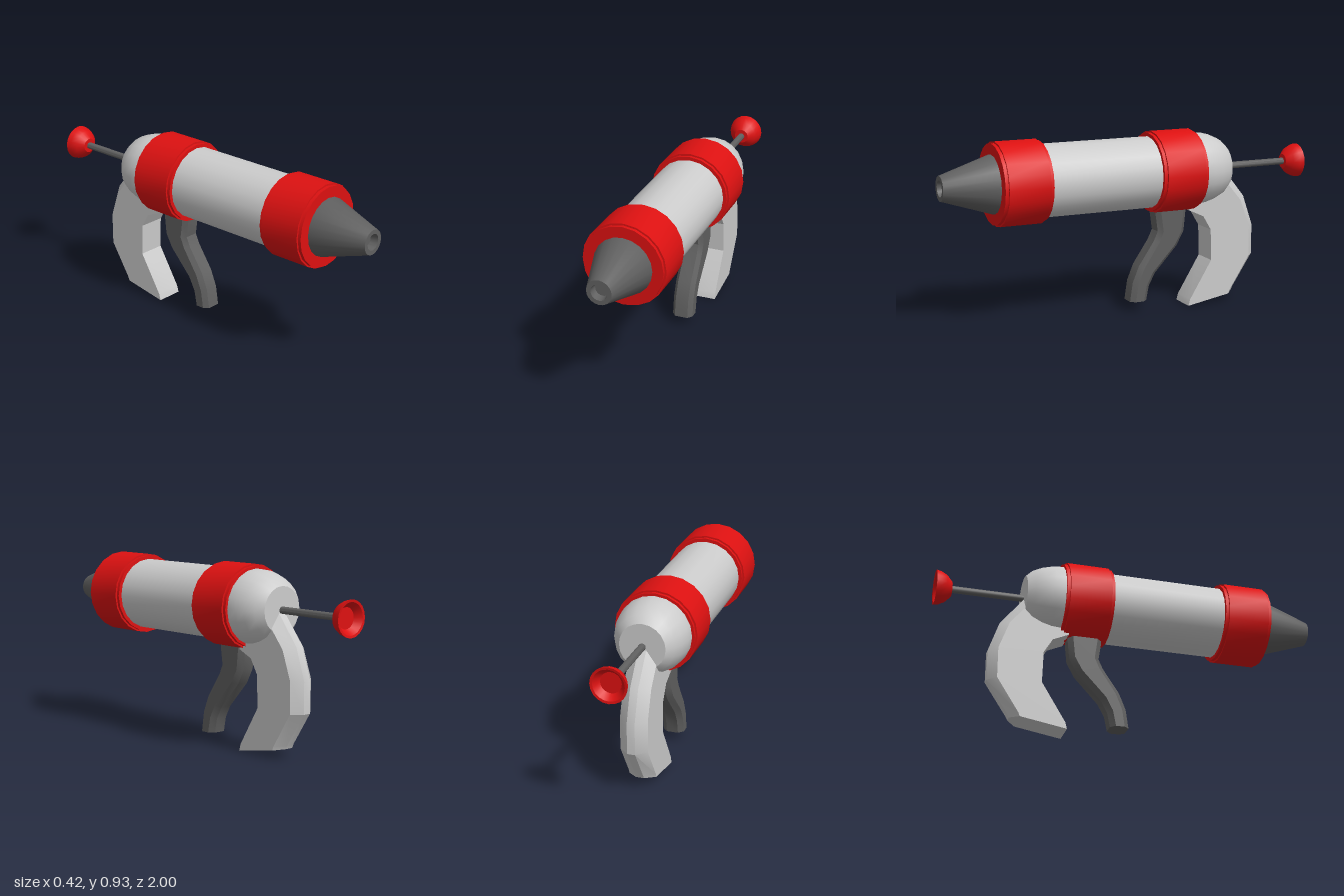
import * as THREE from 'three';
import { toCreasedNormals } from 'three/addons/utils/BufferGeometryUtils.js';

const AXIS_Y = 0.72;
const mat = (color) => new THREE.MeshStandardMaterial({ color });

// Turned part around the barrel axis; profile is [radius, z] from back to front
function turned(profile, sides = 20) {
  const geo = new THREE.LatheGeometry(profile.map(([r, z]) => new THREE.Vector2(r, z)), sides);
  geo.rotateX(Math.PI / 2).translate(0, AXIS_Y, 0);
  return toCreasedNormals(geo, 0.55);
}

// Grip lofted downward through rows of [frontZ, frontY, backZ, backY];
// section is the right half as [x, distance in from front (+) or back (-)]
function grip(rows, section, crease) {
  const outline = [...section, ...section.slice().reverse().map(([x, d]) => [-x, d])];
  const n = outline.length;
  const rings = rows.map(([fz, fy, bz, by]) => {
    const front = new THREE.Vector3(0, fy, fz);
    const back = new THREE.Vector3(0, by, bz);
    const dir = back.clone().sub(front).normalize();
    return outline.map(([x, d]) => {
      const p = (Object.is(d, -0) || d < 0 ? back : front).clone().addScaledVector(dir, d);
      p.x = x;
      return p;
    });
  });
  const pts = [];
  for (let i = 0; i < rings.length - 1; i++) {
    for (let j = 0; j < n; j++) {
      const k = (j + 1) % n;
      const [a, b, c, d] = [rings[i][j], rings[i][k], rings[i + 1][k], rings[i + 1][j]];
      pts.push(a, d, c, a, c, b);
    }
  }
  const top = rings[0], bottom = rings[rings.length - 1];
  for (let j = 1; j < n - 1; j++) {
    pts.push(top[0], top[j], top[j + 1]);
    pts.push(bottom[0], bottom[j + 1], bottom[j]);
  }
  return toCreasedNormals(new THREE.BufferGeometry().setFromPoints(pts), crease);
}

export function createModel() {
  const model = new THREE.Group();
  model.name = 'dispenserGun';
  const grey = mat(0xcccccc), dark = mat(0x606060), red = mat(0xdd1111);
  const add = (name, geo, material) => {
    const mesh = new THREE.Mesh(geo, material);
    mesh.name = name;
    model.add(mesh);
  };

  // Barrel with a domed, flat-ended rear
  add('barrel', turned([
    [0, -0.545], [0.117, -0.545], [0.15, -0.51], [0.173, -0.46],
    [0.186, -0.41], [0.19, -0.35], [0.185, -0.3], [0.185, 0.7], [0, 0.7],
  ]), grey);

  // Two stepped collars
  for (const [name, back, front] of [['frontCollar', 0.485, 0.735], ['rearCollar', -0.36, -0.11]]) {
    add(name, turned([
      [0.15, back], [0.203, back], [0.203, back + 0.017], [0.212, back + 0.017],
      [0.212, front - 0.017], [0.203, front - 0.017], [0.203, front], [0, front],
    ]), red);
  }

  // Tapered nozzle with a recessed mouth
  add('nozzle', turned([
    [0.148, 0.73], [0.148, 0.737], [0.063, 1], [0.041, 1], [0.036, 0.96], [0, 0.96],
  ]), dark);

  // Plunger rod and dished knob
  add('plungerRod', turned([[0.018, -0.93], [0.018, -0.53]], 12), dark);
  add('plungerKnob', turned([
    [0, -0.965], [0.052, -0.965], [0.078, -0.998], [0.09, -1],
    [0.085, -0.975], [0.07, -0.945], [0.038, -0.915], [0, -0.915],
  ]), red);

  // Curved trigger with bevelled edges
  add('trigger', grip([
    [-0.14, 0.57, -0.315, 0.57], [-0.14, 0.5, -0.315, 0.5], [-0.153, 0.41, -0.305, 0.4],
    [-0.13, 0.36, -0.265, 0.325], [-0.045, 0.235, -0.14, 0.19], [-0.01, 0.15, -0.105, 0.125],
    [0.005, 0.05, -0.09, 0.05],
  ], [[0.035, 0], [0.055, 0.025], [0.055, -0.025], [0.03, -0]], 0.5), dark);

  // Handle with a chamfered back
  add('handle', grip([
    [-0.315, 0.54, -0.46, 0.72], [-0.318, 0.512, -0.545, 0.705], [-0.4, 0.475, -0.665, 0.555],
    [-0.445, 0.4, -0.72, 0.395], [-0.45, 0.235, -0.72, 0.235], [-0.328, 0.035, -0.608, 0.065],
    [-0.318, 0, -0.6, 0.048],
  ], [[0.07, 0], [0.07, -0.045], [0.02, -0]], 0.45), grey);

  return model;
}
